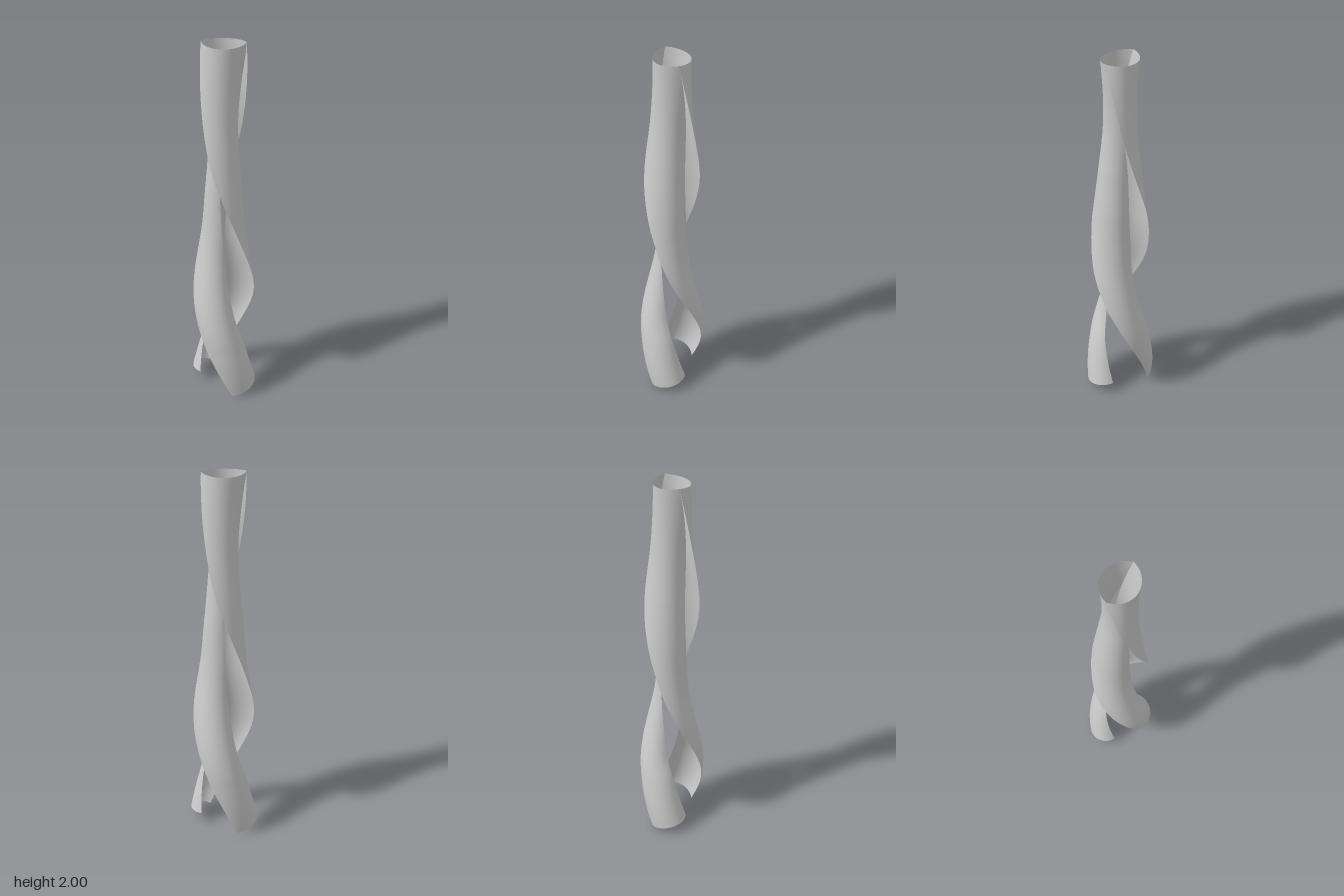
import * as THREE from 'three';

// Rails of one ribbon: [height, angle in degrees from +x toward +z, radius]
const OUTER = [[0, 46, 0.159], [0.27, 90, 0.165], [0.46, 121, 0.166], [0.8, 180, 0.16], [1, 210, 0.15],
  [1.2, 240, 0.143], [1.4, 270, 0.135], [1.65, 301, 0.12], [2, 341, 0.106]];
const MIDDLE = [[0.05, 5, 0.196], [0.3, 43, 0.174], [0.46, 68, 0.16], [0.8, 118, 0.116], [1, 140, 0.1],
  [1.2, 160, 0.096], [1.4, 182, 0.088], [1.65, 208, 0.077], [1.99, 251, 0.086]];
const INNER = [[0.07, -36, 0.136], [0.33, -4, 0.11], [0.5, 21, 0.08], [0.8, 55, 0.065], [1, 70, 0.063],
  [1.2, 80, 0.062], [1.4, 90, 0.063], [1.65, 117, 0.074], [2, 161, 0.106]];

const rail = (points) => new THREE.CatmullRomCurve3(
  points.map(([y, deg, r]) => new THREE.Vector3(y, THREE.MathUtils.degToRad(deg), r)), false, 'catmullrom', 0.5);

// Sweep a curved section through the three rails, in polar coordinates
function ribbonGeometry(rows = 96, cols = 20) {
  const rails = [INNER, MIDDLE, OUTER].map(rail);
  const positions = [];
  const indices = [];
  for (let i = 0; i <= rows; i++) {
    const [b, m, a] = rails.map((curve) => curve.getPoint(i / rows));
    for (let j = 0; j <= cols; j++) {
      const s = j / cols;
      const p = b.clone().multiplyScalar((1 - s) * (1 - 2 * s))
        .addScaledVector(m, 4 * s * (1 - s))
        .addScaledVector(a, s * (2 * s - 1));
      positions.push(p.z * Math.cos(p.y), p.x, p.z * Math.sin(p.y));
      if (i < rows && j < cols) {
        const k = i * (cols + 1) + j;
        const n = k + cols + 1;
        indices.push(k, n, k + 1, k + 1, n, n + 1);
      }
    }
  }
  const geometry = new THREE.BufferGeometry();
  geometry.setAttribute('position', new THREE.Float32BufferAttribute(positions, 3));
  geometry.setIndex(indices);
  geometry.computeVertexNormals();
  return geometry;
}

export function createModel() {
  const group = new THREE.Group();
  group.name = 'twistedTower';
  const grey = new THREE.MeshStandardMaterial({ color: 0xcccccc, side: THREE.DoubleSide });
  grey.name = 'light grey';

  // Two identical ribbons, half a turn apart
  const geometry = ribbonGeometry();
  ['leftRibbon', 'rightRibbon'].forEach((name, i) => {
    const ribbon = new THREE.Mesh(geometry, grey);
    ribbon.name = name;
    ribbon.rotation.y = i * Math.PI;
    group.add(ribbon);
  });
  return group;
}
